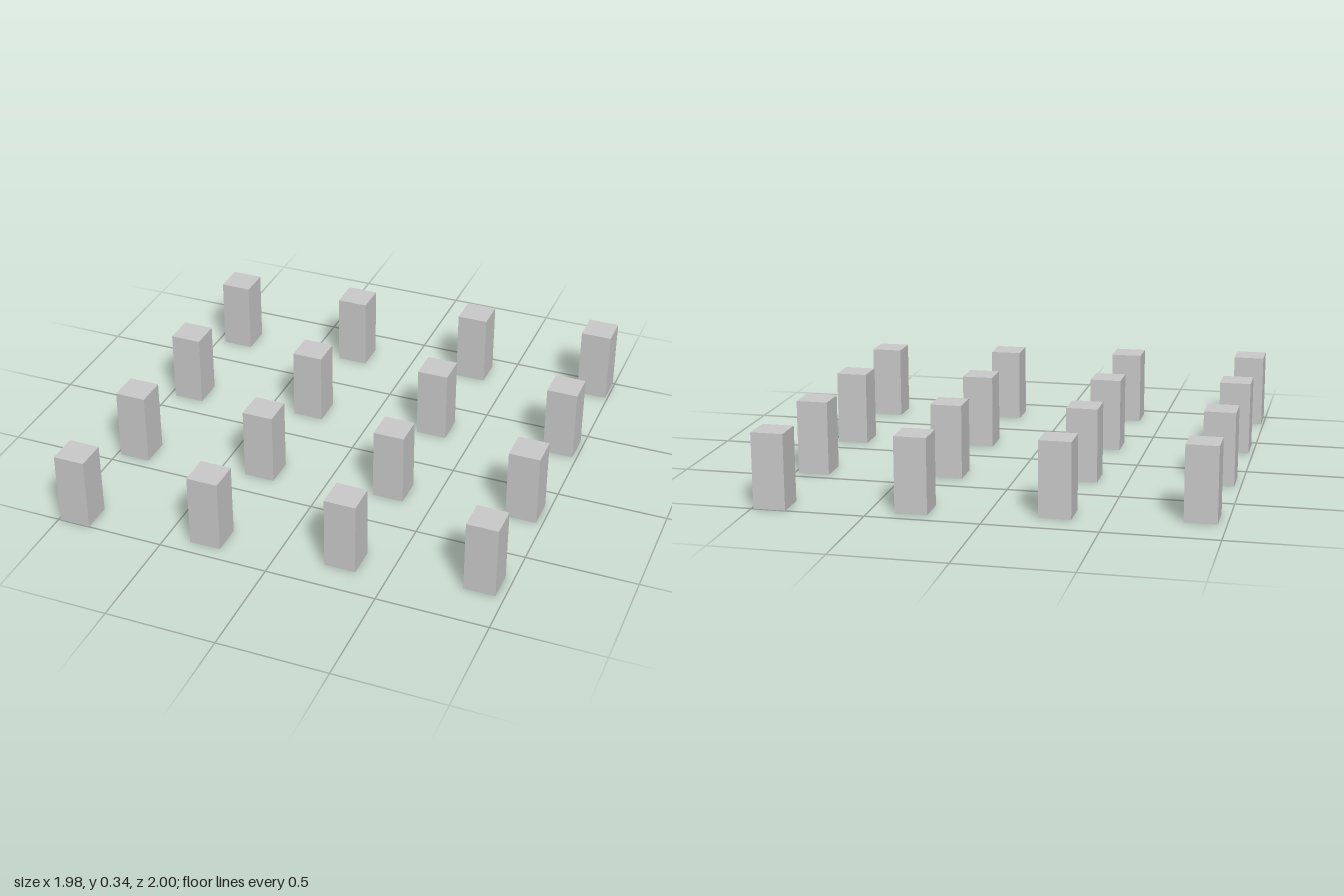
import * as THREE from 'three';

// A slightly sheared 4 x 4 field of identical upright blocks.
export function createModel() {
  const group = new THREE.Group();
  group.name = 'blockGrid';

  const count = 4;
  const width = 0.142, height = 0.336;
  const columnStep = { x: 0.603, z: -0.067 }; // towards the left side
  const rowStep = { x: -0.0097, z: 0.552 };   // towards the front

  const geometry = new THREE.BoxGeometry(width, height, width);
  geometry.translate(0, height / 2, 0);
  const material = new THREE.MeshStandardMaterial({ color: 0xcccccc });

  for (let row = 0; row < count; row++) {
    for (let column = 0; column < count; column++) {
      const r = row - (count - 1) / 2;
      const c = column - (count - 1) / 2;
      const block = new THREE.Mesh(geometry, material);
      block.name = `block row ${row + 1} column ${column + 1}`;
      block.position.set(
        c * columnStep.x + r * rowStep.x,
        0,
        c * columnStep.z + r * rowStep.z
      );
      group.add(block);
    }
  }
  return group;
}
